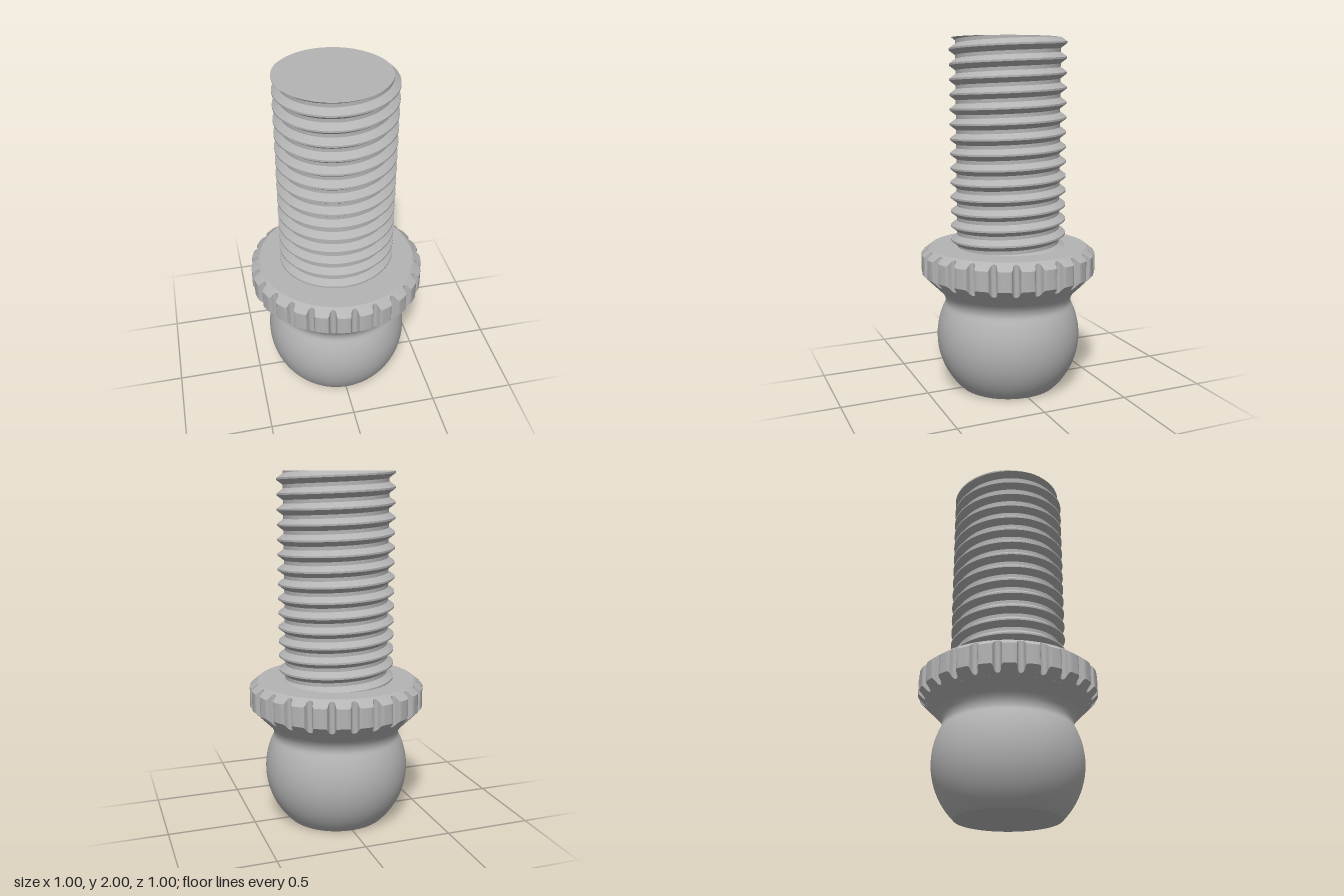
import * as THREE from 'three';
import { toCreasedNormals } from 'three/addons/utils/BufferGeometryUtils.js';

const steel = new THREE.MeshStandardMaterial({ color: 0xb4b4b4 });
steel.name = 'steel grey';

const TOP = 2, COLLAR_TOP = 0.83, TAU = Math.PI * 2;

// Skin between rows of points (top to bottom); at(i, j) gives [radius, angle, y].
function skin(cols, rows, at, crease) {
  const pos = [];
  const point = (i, j) => {
    const [r, a, y] = at(i, j);
    return new THREE.Vector3(r * Math.cos(a), y, -r * Math.sin(a));
  };
  const tri = (...t) => {
    if (new THREE.Triangle(...t).getArea() > 1e-9) t.forEach(p => pos.push(p.x, p.y, p.z));
  };
  for (let i = 0; i < cols; i++) {
    for (let j = 0; j < rows; j++) {
      const a = point(i, j), b = point(i, j + 1), c = point(i + 1, j + 1), d = point(i + 1, j);
      tri(a, b, c);
      tri(a, c, d);
    }
  }
  const geo = new THREE.BufferGeometry();
  geo.setAttribute('position', new THREE.Float32BufferAttribute(pos, 3));
  geo.computeVertexNormals();
  return toCreasedNormals(geo, crease);
}

// Thread cross-section: radius over one pitch, with the crest at phase 0.
const PITCH = 0.0822, CREST = 0.328, ROOT = 0.293;
const BREAKS = [0.94, 0.62, 0.38, 0.06];
function threadRadius(y, angle) {
  let p = (y - TOP) / PITCH - (angle - Math.PI) / TAU;
  p = Math.abs(p - Math.round(p));
  return THREE.MathUtils.lerp(CREST, ROOT, THREE.MathUtils.clamp((p - 0.06) / 0.32, 0, 1));
}

function threadGeometry() {
  const cols = 96, turns = Math.ceil((TOP - COLLAR_TOP) / PITCH) + 2;
  return skin(cols, turns * 4, (i, j) => {
    const angle = i / cols * TAU;
    const t = 1 - Math.floor(j / 4) + BREAKS[j % 4];
    const y = THREE.MathUtils.clamp(TOP + PITCH * ((angle - Math.PI) / TAU + t - 0.5), COLLAR_TOP, TOP);
    const yHelix = TOP + PITCH * ((angle - Math.PI) / TAU + t - 1);
    const yCut = THREE.MathUtils.clamp(yHelix, COLLAR_TOP, TOP);
    return [threadRadius(yCut, angle), angle, yCut];
  }, 0.4);
}

// Collar outline: 25 round-bottomed slots, the first one at the front.
const TEETH = 25;
const SLOT = [[0, 0.461], [0.009, 0.463], [0.016, 0.469], [0.0195, 0.478],
  [0.021, 0.488], [0.025, 0.496], [0.032, 0.5], [0.047, 0.5]];
const SECTOR = [...SLOT.slice(1).reverse().map(([w, r]) => [-w, r]), ...SLOT, [0.0628, 0.5]];

function collarGeometry() {
  const n = SECTOR.length;
  return skin(TEETH * n, 4, (i, j) => {
    const [w, r] = SECTOR[i % n];
    const angle = -Math.PI / 2 + Math.floor(i / n) * TAU / TEETH + w / 0.5;
    const chamferY = COLLAR_TOP - (r - 0.45) * 0.8;
    const coneY = 0.68 - (0.5 - r);
    return [
      [0.27, angle, COLLAR_TOP],
      [0.45, angle, COLLAR_TOP],
      [r, angle, chamferY],
      [r, angle, coneY],
      [0.45, angle, 0.63],
    ][j];
  }, 0.6);
}

// Truncated ball with a filleted neck that flares into the collar.
function ballGeometry() {
  const pts = [];
  const start = Math.asin(-0.3 / 0.415), end = Math.asin(0.195 / 0.415);
  for (let k = 0; k <= 32; k++) {
    const a = start + (end - start) * k / 32;
    pts.push(new THREE.Vector2(0.415 * Math.cos(a), 0.3 + 0.415 * Math.sin(a)));
  }
  pts[0].y = 0;
  for (const [x, y] of [[0.364, 0.511], [0.367, 0.53], [0.375, 0.55], [0.391, 0.571], [0.42, 0.6], [0.45, 0.63]])
    pts.push(new THREE.Vector2(x, y));
  return new THREE.LatheGeometry(pts, 96);
}

export function createModel() {
  const group = new THREE.Group();
  group.name = 'threadedBallStud';
  const add = (name, geo) => {
    const mesh = new THREE.Mesh(geo, steel);
    mesh.name = name;
    group.add(mesh);
    return mesh;
  };

  add('ballAndNeck', ballGeometry());
  const base = add('ballFlat', new THREE.CircleGeometry(Math.sqrt(0.415 ** 2 - 0.3 ** 2), 96));
  base.rotation.x = Math.PI / 2;
  add('notchedCollar', collarGeometry());
  add('threadedShank', threadGeometry());

  // End face follows the thread where the shank is cut off.
  add('shankEnd', skin(96, 1, (i, j) => {
    const angle = i / 96 * TAU;
    return [j ? threadRadius(TOP, angle) : 0, angle, TOP];
  }, 0.4));
  return group;
}
